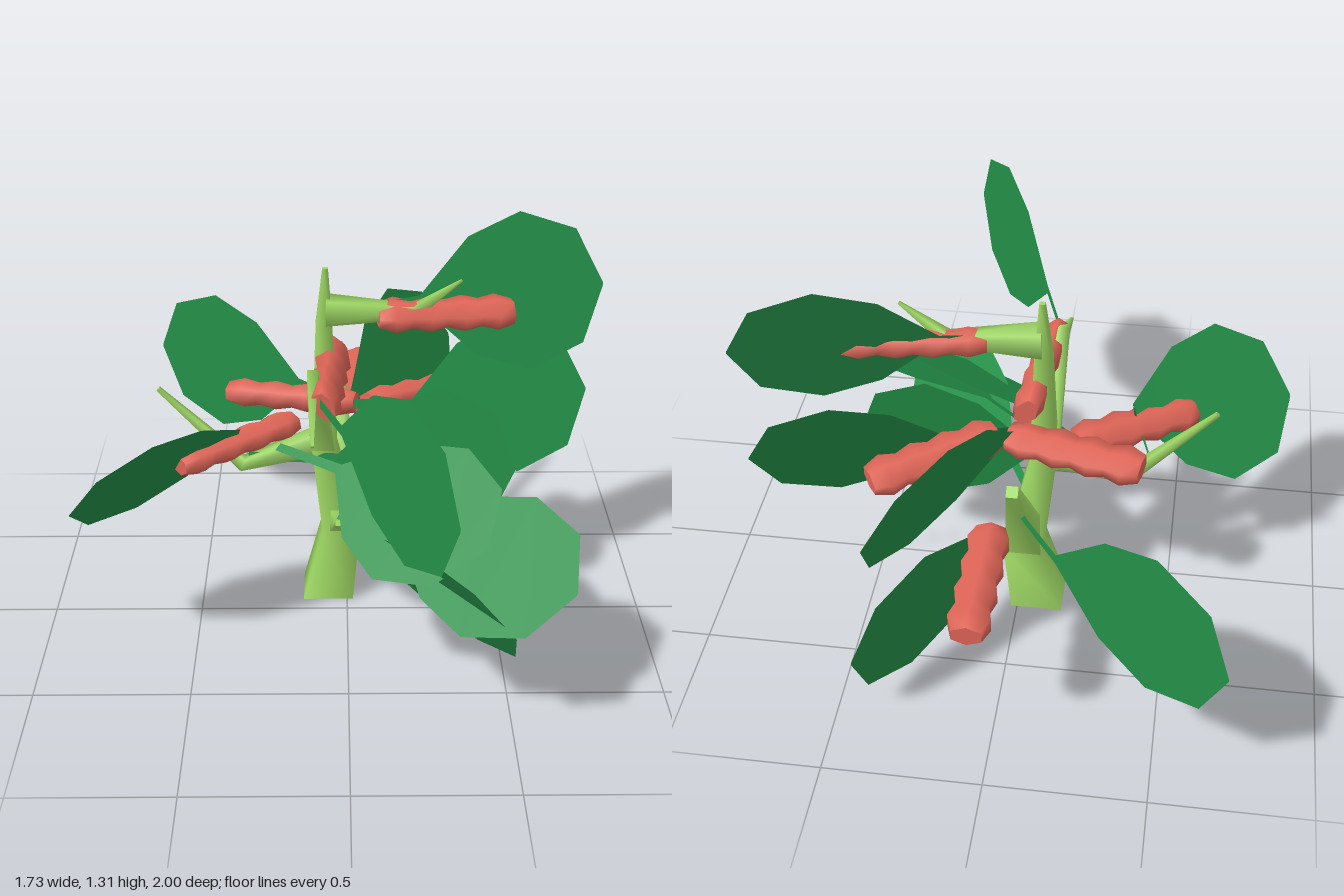
import * as THREE from 'three';

const stemMat = new THREE.MeshStandardMaterial({ color: 0x9fd964 });
const leafMat = new THREE.MeshStandardMaterial({ color: 0x249048, side: THREE.DoubleSide });
const flowerMat = new THREE.MeshStandardMaterial({ color: 0xe06658 });

const V = (a) => new THREE.Vector3(...a);

function toGeometry(points, index) {
  const g = new THREE.BufferGeometry().setFromPoints(points);
  g.setIndex(index);
  g.computeVertexNormals();
  return g;
}

// Joins equal-sized rings of points into a closed, capped solid
function loft(rings) {
  const n = rings[0].length, index = [];
  for (let r = 0; r < rings.length - 1; r++) {
    for (let i = 0; i < n; i++) {
      const a = r * n + i, b = r * n + (i + 1) % n;
      index.push(a, b, a + n, b, b + n, a + n);
    }
  }
  const points = rings.flat();
  // End caps have their own vertices so the rims stay sharp
  [rings[0], rings[rings.length - 1]].forEach((ring, end) => {
    const s = points.length;
    points.push(...ring.map((p) => p.clone()));
    for (let i = 1; i < n - 1; i++) index.push(s, s + i + (end ? 0 : 1), s + i + (end ? 1 : 0));
  });
  return toGeometry(points, index);
}

// Polygon round c with flat sides at distance ra, rb; a x b points along the loft
function ring(c, a, b, ra, rb, sides) {
  const k = 1 / Math.cos(Math.PI / sides);
  return Array.from({ length: sides }, (_, i) => {
    const t = ((i + 0.5) / sides) * Math.PI * 2;
    return c.clone().addScaledVector(a, k * ra * Math.cos(t)).addScaledVector(b, k * rb * Math.sin(t));
  });
}

// Tapered four-sided branch through nodes of [x, y, z, half width]
function branch(name, nodes) {
  const pts = nodes.map((n) => V(n.slice(0, 3)));
  const side = Math.abs(pts[pts.length - 1].x - pts[0].x) > 0.2 ? V([0, 0, 1]) : V([1, 0, 0]);
  const rings = pts.map((p, i) => {
    const dir = pts[Math.min(i + 1, pts.length - 1)].clone().sub(pts[Math.max(i - 1, 0)]).normalize();
    if (name === 'trunk') dir.set(0, 1, 0);
    const b = dir.clone().cross(side).normalize();
    return ring(p, b.clone().cross(dir), b, nodes[i][3], nodes[i][3], 4);
  });
  const m = new THREE.Mesh(loft(rings), stemMat);
  m.name = name;
  return m;
}

// Knobbly flattened flower spike
function flowerSpike(from, to, across) {
  const a = V(from), d = V(to).sub(a), dir = d.clone().normalize();
  const w = V(across).addScaledVector(dir, -V(across).dot(dir)).normalize();
  const h = dir.clone().cross(w);
  const rings = [], steps = 8;
  for (let i = 0; i <= steps; i++) {
    const end = i === 0 || i === steps;
    const k = end ? 0.7 : i % 2 ? 1 : 0.78;
    rings.push(ring(a.clone().addScaledVector(d, i / steps), w, h, 0.064 * k, 0.043 * k, 6));
  }
  const m = new THREE.Mesh(loft(rings), flowerMat);
  m.name = 'flowerSpike';
  return m;
}

// Broad flat leaf: stalk from the branch, then an angular blade
const BLADE = [[0, 0.018], [0.28, 0.195], [0.57, 0.262], [0.87, 0.19], [1, 0.005]];
function leaf(attach, base, tip, across) {
  const b = V(base), d = V(tip).sub(b), dir = d.clone().normalize();
  const v = V(across).addScaledVector(dir, -V(across).dot(dir)).normalize();
  const points = [], index = [];
  const station = (c, half) => {
    for (const s of [-1, 1]) points.push(c.clone().addScaledVector(v, s * half));
  };
  station(V(attach), 0.015);
  BLADE.forEach(([t, half]) => station(b.clone().addScaledVector(d, t), half));
  for (let r = 0; r < BLADE.length; r++) {
    const p = r * 2;
    index.push(p, p + 2, p + 1, p + 1, p + 2, p + 3);
  }
  const m = new THREE.Mesh(toGeometry(points, index), leafMat);
  m.name = 'leaf';
  return m;
}

export function createModel() {
  const plant = new THREE.Group();
  plant.name = 'floweringPlant';

  // Trunk and branches
  plant.add(
    branch('trunk', [[-0.065, 0, -0.145, 0.085], [-0.02, 0.25, -0.16, 0.064],
      [-0.075, 0.58, -0.11, 0.042], [-0.075, 1, -0.145, 0.027], [-0.07, 1.19, -0.147, 0.009]]),
    branch('backBranch', [[-0.02, 0.25, -0.16, 0.06], [-0.03, 0.77, -0.53, 0.018]]),
    branch('lowerFrontBranch', [[-0.02, 0.27, -0.14, 0.04], [-0.03, 0.45, 0.2, 0.009]]),
    branch('upperFrontBranch', [[-0.08, 0.58, -0.11, 0.04], [-0.11, 0.925, 0.1, 0.018], [-0.11, 0.8, 0.35, 0.005]]),
    branch('rightBranch', [[-0.07, 0.6, -0.11, 0.04], [-0.35, 0.515, -0.1, 0.022], [-0.62, 0.79, -0.1, 0.007]]),
    branch('leftBranch', [[-0.07, 1.05, -0.14, 0.042], [0.22, 1.04, -0.15, 0.02], [0.37, 1.15, -0.14, 0.004]]),
  );

  // Flower spikes: start, end, direction of the width
  const spikes = [
    [[0.045, 0.55, -0.465], [0.05, 0.55, -0.92], [1, 0, 0]],
    [[0.03, 0.7, -0.18], [-0.4, 0.695, -0.285], [0, 0.2, 1]],
    [[0.07, 0.7, -0.18], [0.43, 0.67, -0.42], [0.5, 0.3, 0.9]],
    [[-0.18, 0.655, -0.13], [-0.54, 0.625, 0.13], [0.6, 0.2, 0.8]],
    [[0.1, 1.03, -0.14], [0.545, 1.02, -0.2], [0, 0.3, -1]],
    [[-0.075, 0.86, 0.195], [-0.035, 0.86, -0.26], [-0.6, 1, 0]],
  ];
  spikes.forEach((s) => plant.add(flowerSpike(...s)));

  // Leaves: attachment, blade base, blade tip, direction across the blade
  const leaves = [
    [[-0.11, 0.87, 0.12], [-0.02, 0.88, 0.4], [0.29, 0.88, 1], [0, 1, 0]],
    [[-0.03, 0.6, -0.42], [-0.17, 0.58, -0.6], [-0.7, 0.56, -1], [0, 1, 0]],
    [[-0.42, 0.58, -0.1], [-0.35, 0.69, 0.02], [-0.865, 0.56, 0.34], [0.2, 0.43, 0.29]],
    [[0.05, 1.05, -0.14], [0.24, 1.06, -0.19], [0.86, 1.06, -0.345], [-0.03, 0.5, -0.17]],
    [[-0.07, 0.72, -0.13], [0.22, 0.68, -0.2], [0.83, 0.665, -0.36], [-0.03, 0.47, -0.2]],
    [[-0.07, 0.72, -0.13], [0.02, 0.72, -0.2], [0.38, 0.7, -0.77], [-0.16, 0.46, -0.09]],
    [[-0.33, 0.54, -0.1], [-0.03, 0.55, -0.06], [0.555, 0.53, -0.01], [-0.01, 0.49, -0.08]],
    [[-0.03, 0.45, 0.15], [0.17, 0.48, 0.29], [0.68, 0.44, 0.62], [0.18, 0.22, -0.3]],
    [[-0.23, 0.59, -0.07], [-0.03, 0.59, 0.09], [0.42, 0.53, 0.5], [0.27, 0.28, -0.3]],
    [[-0.03, 0.34, -0.06], [0.07, 0.33, 0.16], [0.5, 0.31, 0.66], [-0.11, 0.2, 0.07]],
    [[-0.02, 0.31, -0.07], [0.05, 0.3, -0.27], [0.42, 0.3, -0.84], [-0.07, 0.49, -0.04]],
  ];
  leaves.forEach((l) => plant.add(leaf(...l)));

  return plant;
}
